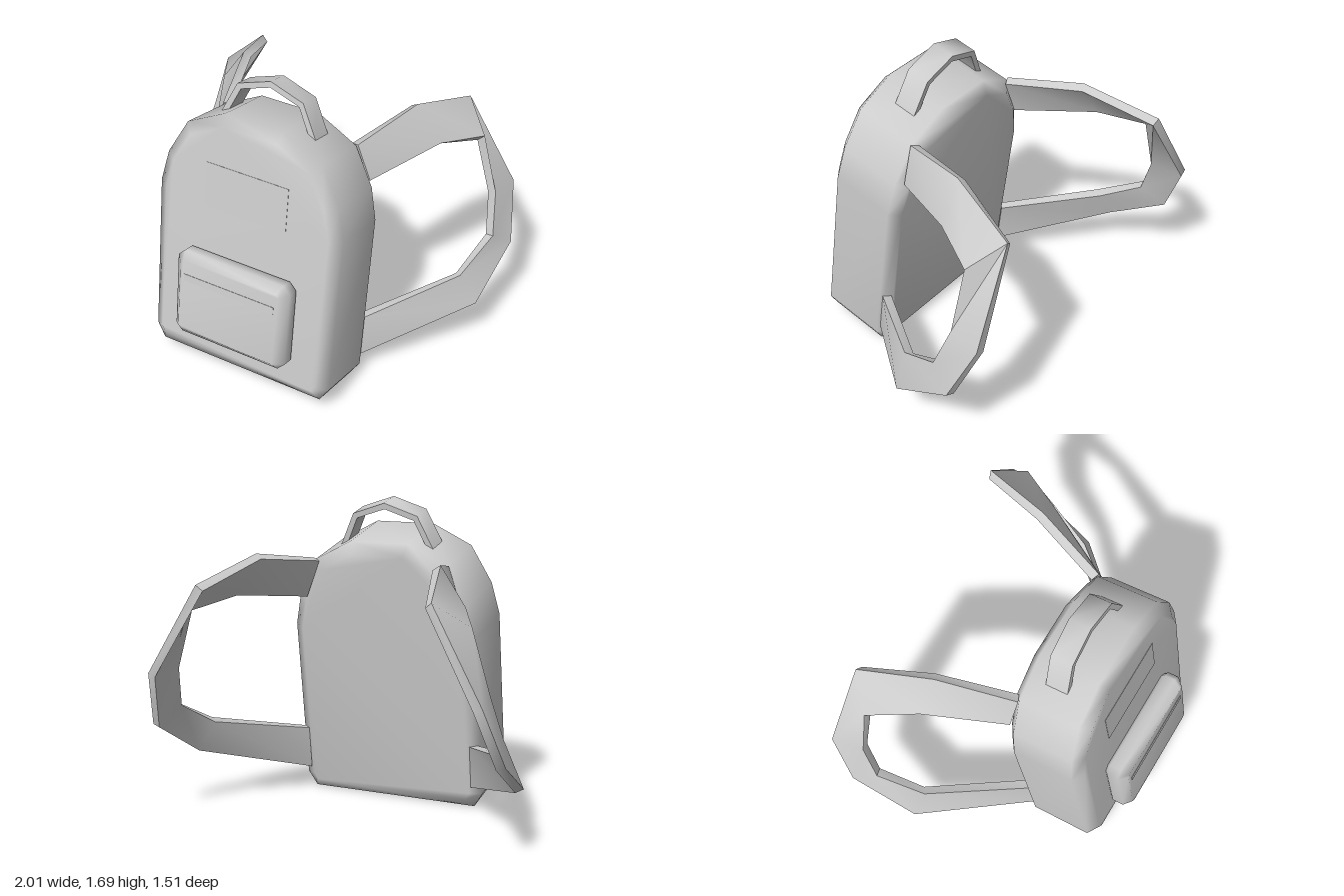
import * as THREE from 'three';
import { mergeVertices, toCreasedNormals } from 'three/addons/utils/BufferGeometryUtils.js';

// The bag leans back: height u and depth w are sheared into y and z
const LEAN = new THREE.Matrix4().set(
  1, 0, 0, 0,
  0, 1, 0.235, 0.045,
  0, -0.138, 1, 0.45,
  0, 0, 0, 1);

// Closed outline from its +x half, listed bottom to top
function mirroredShape(half) {
  const left = half.filter(([x]) => x > 0).reverse().map(([x, u]) => [-x, u]);
  return new THREE.Shape([...half, ...left].map(([x, u]) => new THREE.Vector2(x, u)));
}

// Smooth, softly bevelled slab between two depths
function paddedSlab(half, w0, w1, thick, size) {
  let g = new THREE.ExtrudeGeometry(mirroredShape(half), {
    depth: w1 - w0 - 2 * thick, bevelThickness: thick, bevelSize: size,
    bevelOffset: -size, bevelSegments: 1,
  });
  g.translate(0, 0, w0 + thick);
  g.applyMatrix4(LEAN);
  g.deleteAttribute('uv');
  g.deleteAttribute('normal');
  g = mergeVertices(g, 1e-4);
  g.computeVertexNormals();
  return g;
}

// Thin flat panel lying in the leaning plane
function panel(width, u0, u1, w) {
  const g = new THREE.BoxGeometry(width, u1 - u0, 0.006);
  g.translate(0, (u0 + u1) / 2, w);
  return g.applyMatrix4(LEAN);
}

// Shoulder strap stations: outer edge point, inner edge point
const STRAP = [
  [[0.38, 1.35, 0.085], [0.45, 1.15, 0.075]],
  [[0.51, 1.405, -0.32], [0.65, 1.205, -0.33]],
  [[0.635, 1.28, -0.705], [0.79, 1.15, -0.57]],
  [[0.91, 0.81, -0.75], [0.88, 0.83, -0.57]],
  [[0.98, 0.505, -0.62], [0.92, 0.605, -0.49]],
  [[0.95, 0.3, -0.27], [0.855, 0.47, -0.25]],
  [[0.51, 0.13, 0.235], [0.51, 0.365, 0.205]],
];

// Flat band with rectangular section swept through the stations
function strapGeometry(side) {
  const half = 0.024;
  const st = STRAP.map((pair) => pair.map(([x, y, z]) => new THREE.Vector3(x * side, y, z)));
  const mid = st.map(([p, q]) => p.clone().add(q).multiplyScalar(0.5));
  const pos = [], index = [];
  st.forEach(([p, q], i) => {
    const t = mid[Math.min(i + 1, st.length - 1)].clone().sub(mid[Math.max(i - 1, 0)]);
    const n = t.cross(q.clone().sub(p)).setLength(half);
    [p.clone().sub(n), q.clone().sub(n), q.clone().add(n), p.clone().add(n)]
      .forEach((v) => pos.push(v.x, v.y, v.z));
    if (i === 0) return;
    for (let j = 0; j < 4; j++) {
      const k = (j + 1) % 4, a = 4 * (i - 1), b = 4 * i;
      index.push(a + j, a + k, b + k, a + j, b + k, b + j);
    }
  });
  const e = 4 * (st.length - 1);
  index.push(0, 3, 2, 0, 2, 1, e, e + 1, e + 2, e, e + 2, e + 3);
  const g = new THREE.BufferGeometry();
  g.setAttribute('position', new THREE.Float32BufferAttribute(pos, 3));
  g.setIndex(index);
  return toCreasedNormals(g, 0.7);
}

export function createModel() {
  const model = new THREE.Group();
  model.name = 'backpack';
  const fabric = new THREE.MeshStandardMaterial({ color: 0xcccccc });
  fabric.name = 'greyFabric';

  const add = (name, geometry) => {
    const mesh = new THREE.Mesh(geometry, fabric);
    mesh.name = name;
    model.add(mesh);
  };

  // Main bag with arched top
  add('body', paddedSlab([
    [0.49, 0], [0.54, 0.08], [0.54, 0.97], [0.5, 1.145], [0.39, 1.345], [0.17, 1.455],
  ], -0.215, 0.215, 0.045, 0.06));

  // Front pocket
  add('frontPocket', paddedSlab([
    [0.295, 0.178], [0.335, 0.218], [0.335, 0.638], [0.295, 0.678],
  ], 0.19, 0.337, 0.042, 0.04));

  // Flat panels on bag and pocket
  add('frontPanel', panel(0.48, 0.93, 1.18, 0.214));
  add('pocketZipStrip', panel(0.54, 0.52, 0.56, 0.336));

  // Carry handle: faceted arch on the roof
  const outer = [[0.275, 1.4], [0.19, 1.577], [0, 1.64], [-0.19, 1.577], [-0.275, 1.4]];
  const inner = [[-0.24, 1.4], [-0.168, 1.552], [0, 1.607], [0.168, 1.552], [0.24, 1.4]];
  const arch = new THREE.Shape([...outer, ...inner].map(([x, u]) => new THREE.Vector2(x, u)));
  const handle = new THREE.ExtrudeGeometry(arch, { depth: 0.124, bevelEnabled: false });
  handle.translate(0, 0, -0.079);
  handle.applyMatrix4(LEAN);
  add('carryHandle', toCreasedNormals(handle, 0.9));

  // Shoulder straps
  add('leftShoulderStrap', strapGeometry(1));
  add('rightShoulderStrap', strapGeometry(-1));

  return model;
}
